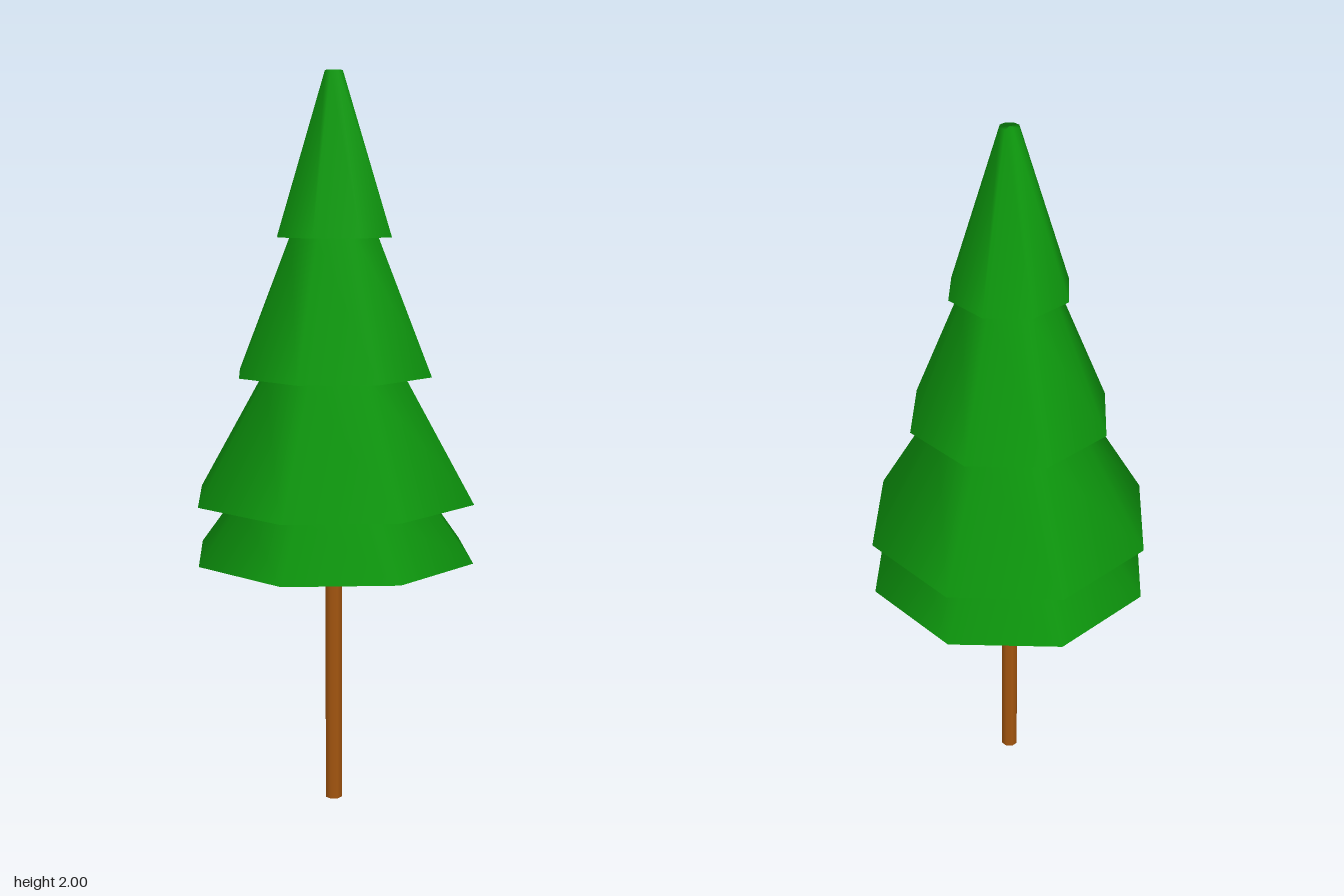
import * as THREE from 'three';

const SIDES = 8;

// Turned octagonal solid whose normals all point straight out from the trunk axis
function turned(profile) {
  const geo = new THREE.LatheGeometry(profile.map(([r, y]) => new THREE.Vector2(r, y)), SIDES);
  const normal = geo.attributes.normal;
  for (let i = 0; i < normal.count; i++) {
    const angle = Math.floor(i / profile.length) / SIDES * Math.PI * 2;
    normal.setXYZ(i, Math.sin(angle), 0, Math.cos(angle));
  }
  return geo;
}

export function createModel() {
  const model = new THREE.Group();
  model.name = 'pineTree';

  const needles = new THREE.MeshStandardMaterial({ color: 0x10a810 });
  needles.name = 'needleGreen';
  const bark = new THREE.MeshStandardMaterial({ color: 0xa3550f });
  bark.name = 'barkBrown';

  const add = (name, profile, material) => {
    const mesh = new THREE.Mesh(turned(profile), material);
    mesh.name = name;
    model.add(mesh);
  };

  // Thin straight trunk
  add('trunk', [[0, 0], [0.024, 0], [0.024, 0.72]], bark);

  // Branch tiers: [bottom y, rim radius, top y, top radius]
  const tiers = [
    [0.71, 0.395, 0.87, 0.275],
    [0.87, 0.395, 1.205, 0.2],
    [1.205, 0.275, 1.57, 0.125],
    [1.57, 0.162, 2, 0.025],
  ];
  tiers.forEach(([y0, rim, y1, top], i) => {
    // each underside starts where the tier below ends
    const inner = i ? tiers[i - 1][3] : 0;
    const profile = [[inner, y0], [rim, y0], [top, y1]];
    if (i === tiers.length - 1) profile.push([0, y1]); // flat tip
    add('branchTier' + (i + 1), profile, needles);
  });

  return model;
}
